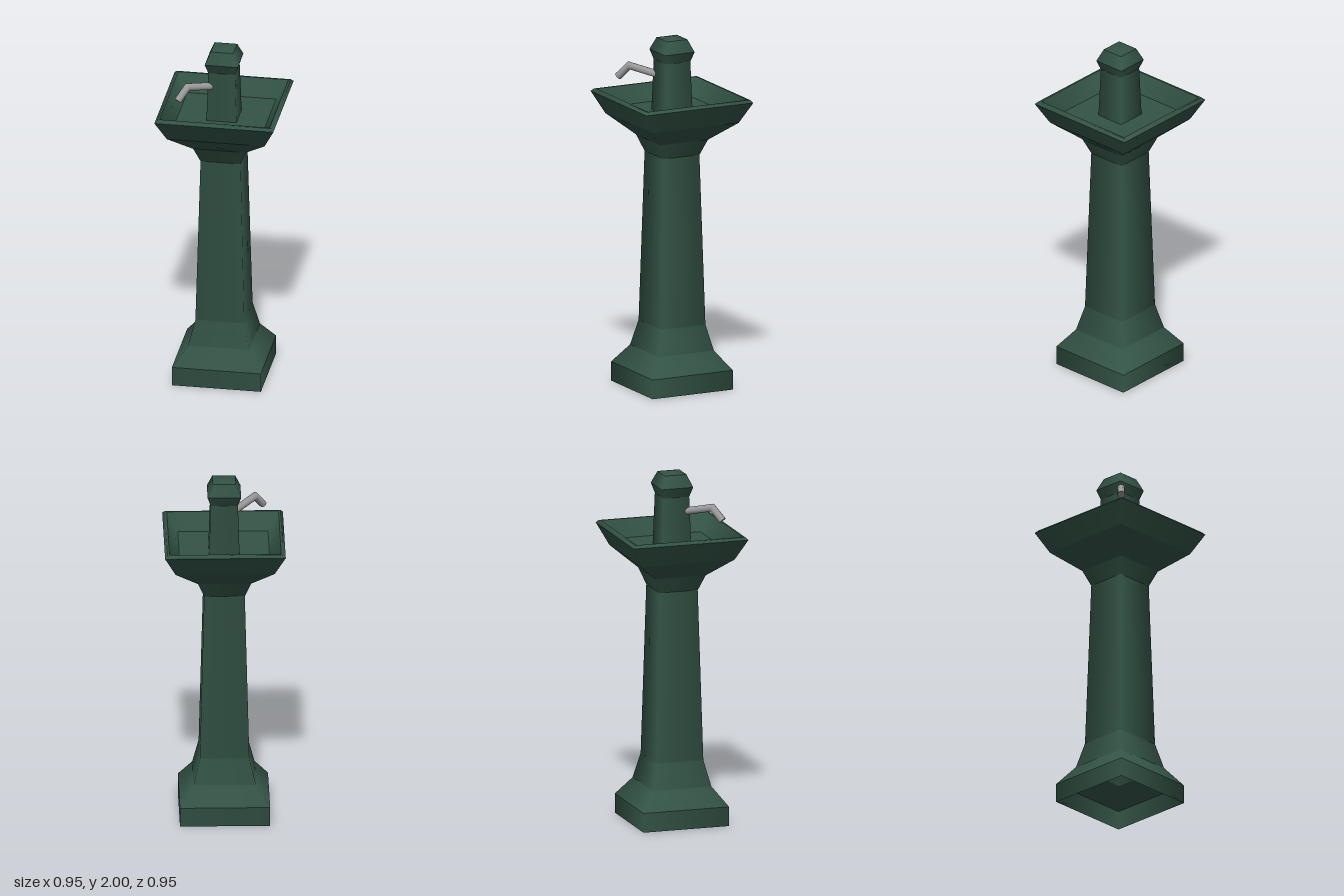
import * as THREE from 'three';
import { mergeGeometries } from 'three/addons/utils/BufferGeometryUtils.js';

const green = new THREE.MeshStandardMaterial({ name: 'dark green paint', color: 0x335346, side: THREE.DoubleSide });
const grey = new THREE.MeshStandardMaterial({ name: 'grey metal', color: 0x999999 });

// Four-sided turned part: one lathe per band keeps the horizontal edges sharp
// while the shading stays soft around the corners.
function turned(name, profile) {
  const bands = [];
  for (let i = 1; i < profile.length; i++) {
    const pair = [profile[i - 1], profile[i]].map(([r, y]) => new THREE.Vector2(r, y));
    bands.push(new THREE.LatheGeometry(pair, 4));
  }
  const mesh = new THREE.Mesh(mergeGeometries(bands), green);
  mesh.name = name;
  return mesh;
}

// Bent pipe: a cylinder whose three rings are moved onto the path, mitred at the bend
function bentPipe(name, path, radius) {
  const geometry = new THREE.CylinderGeometry(radius, radius, 1, 12, 2);
  const pos = geometry.attributes.position;
  const first = path[1].clone().sub(path[0]).normalize();
  const last = path[2].clone().sub(path[1]).normalize();
  const middle = first.clone().add(last).normalize();
  const directions = [first, middle, last];
  const stretch = [1, 1 / middle.dot(first), 1];
  for (let i = 0; i < pos.count; i++) {
    const ring = Math.round((pos.getY(i) + 0.5) * 2);
    const d = directions[ring];
    const side = pos.getZ(i) * stretch[ring];
    pos.setXYZ(i, pos.getX(i), path[ring].y - d.z * side, path[ring].z + d.y * side);
  }
  geometry.computeVertexNormals();
  const mesh = new THREE.Mesh(geometry, grey);
  mesh.name = name;
  return mesh;
}

export function createModel() {
  const group = new THREE.Group();
  group.name = 'drinkingFountain';

  // Plinth, open underneath
  group.add(turned('base', [[0.355, 0], [0.355, 0.11], [0.245, 0.215], [0.195, 0.36]]));
  // Tapering shaft
  group.add(turned('shaft', [[0.195, 0.36], [0.16, 1.33]]));
  // Flared bowl with rim, inner walls and floor
  group.add(turned('basin', [
    [0.16, 1.33], [0.21, 1.42], [0.39, 1.53], [0.475, 1.65],
    [0.455, 1.665], [0.44, 1.665], [0.355, 1.57], [0.12, 1.57],
  ]));
  // Upper post and its faceted cap
  group.add(turned('post', [[0.12, 1.57], [0.107, 1.86]]));
  group.add(turned('cap', [[0.107, 1.86], [0.132, 1.915], [0.09, 1.985], [0, 2]]));

  // Spout reaching out over the front of the basin
  group.add(bentPipe('spout', [
    new THREE.Vector3(0, 1.773, 0.08),
    new THREE.Vector3(0, 1.812, 0.25),
    new THREE.Vector3(0, 1.745, 0.315),
  ], 0.021));

  return group;
}
